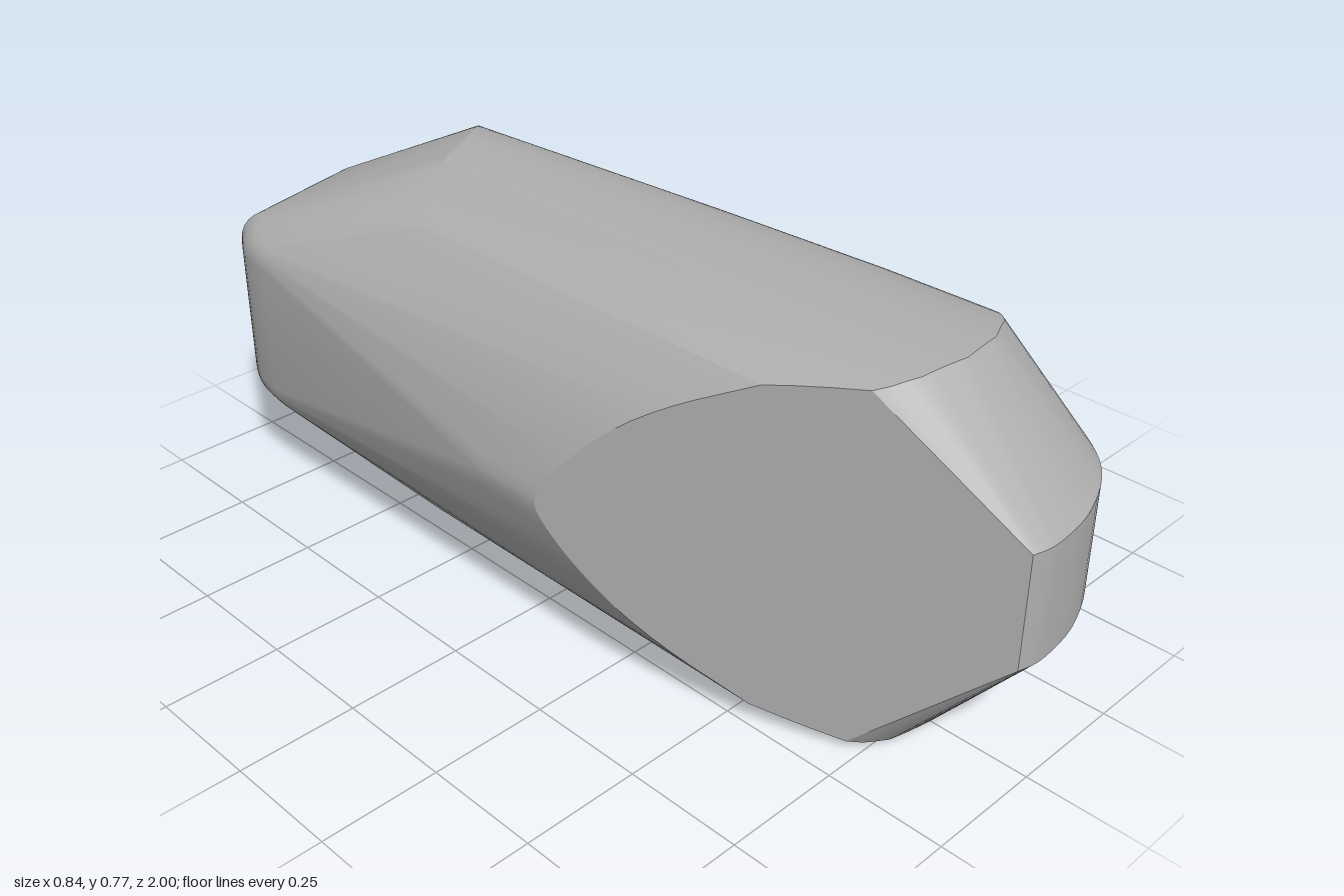
import * as THREE from 'three';
import { ConvexGeometry } from 'three/addons/geometries/ConvexGeometry.js';
import { toCreasedNormals } from 'three/addons/utils/BufferGeometryUtils.js';

const MID = 0.395; // height of the horizontal symmetry plane

// piecewise-linear lookup in a list of [input, output] pairs
function lookup(table, t) {
  if (t <= table[0][0]) return table[0][1];
  for (let i = 1; i < table.length; i++) {
    const [a, va] = table[i - 1], [b, vb] = table[i];
    if (t <= b) return va + (vb - va) * (t - a) / (b - a);
  }
  return table[table.length - 1][1];
}

// smooth curve through a few 2D points
function smooth(pairs, n) {
  return new THREE.SplineCurve(pairs.map(p => new THREE.Vector2(...p))).getPoints(n);
}

// body half-width on each side and half-height along z
const rightWidth = [[-0.75, 0.31], [-0.6, 0.33], [-0.3, 0.36], [0, 0.39], [0.42, 0.42]];
const leftScale = [[-0.75, 0.905], [-0.4, 0.955], [0, 1]];
const halfHeight = z => 0.382 + 0.006 * z;
// where the body meets the front bevel and the rear slope, by x
const frontEnd = [[-0.17, 0.735], [-0.1, 0.768], [0, 0.785], [0.1, 0.77], [0.2, 0.72],
  [0.3, 0.63], [0.35, 0.585], [0.42, 0.53]];
const backEnd = [[-0.42, -0.75], [-0.38, -0.68], [-0.3, -0.48], [-0.25, -0.35],
  [-0.05, -0.52], [0.1, -0.6], [0.28, -0.74], [0.42, -0.75]];
const sideCut = x => 0.99 + 2.306 * (x + 0.06); // slanted plane at front on the -x side

export function createModel() {
  const points = [];
  const add = (x, y, z) => points.push(
    new THREE.Vector3(x, y, z), new THREE.Vector3(x, 2 * MID - y, z));

  // rounded top and +x side of the body
  const N = 28;
  for (let i = 0; i <= N; i++) {
    const a = i / N * Math.PI / 2;
    const u = Math.pow(Math.sin(a), 0.8), v = Math.pow(Math.max(0, Math.cos(a)), 0.8);
    const zf = lookup(frontEnd, u * 0.42), zb = lookup(backEnd, u * 0.38);
    for (const z of [zf, 0.4, 0.2, 0, -0.3, zb]) {
      if (z > zf || z < zb) continue;
      add(u * lookup(rightWidth, z), MID + v * halfHeight(z), z);
    }
  }

  // top from the centre to the crease on the -x side
  for (let i = 1; i <= 10; i++) {
    const x = -0.025 * i;
    const zf = Math.min(lookup(frontEnd, x), sideCut(x));
    for (const z of [zf, lookup(backEnd, x)])
      add(x, MID + halfHeight(z) * Math.pow(1 - Math.pow(-x / 0.43, 2.5), 0.4) * (1 - 0.16 * x * x), z);
  }

  // arched -x side, ending on the slanted cut
  for (const p of smooth([[-0.25, 0.725], [-0.3, 0.675], [-0.35, 0.6], [-0.39, 0.51],
    [-0.415, 0.43], [-0.42, MID]], 16)) {
    const zb = lookup(backEnd, p.x);
    for (const z of [sideCut(p.x), 0, -0.4, zb])
      if (z >= zb) add(p.x * lookup(leftScale, z), p.y, z);
  }

  // upright band around the nose
  for (const p of smooth([[-0.06, 0.99], [0, 1], [0.12, 0.982], [0.25, 0.92],
    [0.345, 0.81], [0.395, 0.67], [0.41, 0.53]], 28)) add(p.x, 0.515, p.y);

  // upright tail wall with a rounded rim
  const tail = [...smooth([[-0.38, -0.75], [-0.365, -0.84], [-0.32, -0.92]], 8),
    ...smooth([[0, -1], [0.1, -0.982], [0.2, -0.915], [0.265, -0.81], [0.305, -0.7]], 24)];
  for (let i = 0; i <= 5; i++) {
    const a = i / 5 * 1.2;
    const s = 1 - 0.17 * (1 - Math.cos(a)), y = 0.54 + 0.07 * Math.sin(a);
    for (const p of tail) add(p.x * s, y, -0.6 + (p.y + 0.6) * s);
  }

  const gray = new THREE.MeshStandardMaterial({ color: 0xb0b0b0 });
  gray.name = 'gray';
  const body = new THREE.Mesh(toCreasedNormals(new ConvexGeometry(points), 0.33), gray);
  body.name = 'body';

  const group = new THREE.Group();
  group.name = 'roundedBlock';
  group.add(body);
  return group;
}
